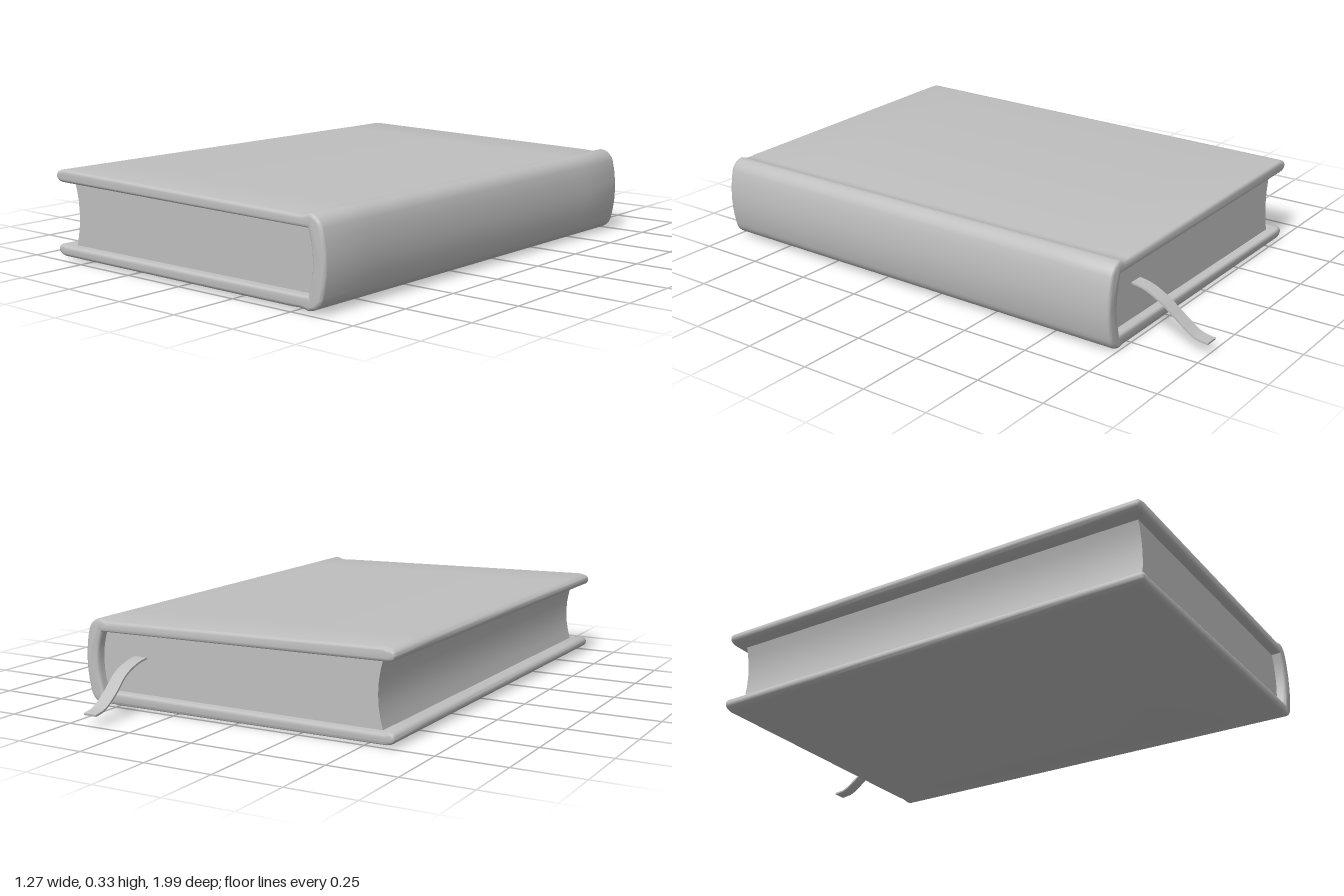
import * as THREE from 'three';
import { toCreasedNormals } from 'three/addons/utils/BufferGeometryUtils.js';

const BACK = -0.745, FRONT = 0.99;

// Extrude a cross-section along z with rounded ends, between z0 and z1.
function extrudeAlong(shape, z0, z1, bevel, crease) {
  let geo = new THREE.ExtrudeGeometry(shape, {
    depth: z1 - z0 - 2 * bevel, steps: 8, curveSegments: 6,
    bevelEnabled: bevel > 0, bevelThickness: bevel, bevelSize: bevel, bevelOffset: -bevel, bevelSegments: 3,
  });
  geo.translate(0, 0, z0 + bevel);
  // The fore edge narrows a little, and the book thins slightly, towards the back.
  const p = geo.attributes.position;
  for (let i = 0; i < p.count; i++) {
    const t = (FRONT - p.getZ(i)) / (FRONT - BACK);
    const x = p.getX(i), y = p.getY(i);
    if (x < 0) p.setX(i, x * (1 - 0.045 * t));
    p.setY(i, y + 0.008 * (1 - t) * (1 - y / 0.33));
  }
  return toCreasedNormals(geo, crease);
}

function coverShape() {
  const s = new THREE.Shape();
  // Outside: bottom board, rounded spine, hinge ridge, top board
  s.moveTo(-0.6, 0.006);
  s.lineTo(0.5, 0.004);
  s.quadraticCurveTo(0.53, 0.008, 0.56, 0.0);
  s.quadraticCurveTo(0.61, 0.008, 0.618, 0.05);
  s.quadraticCurveTo(0.646, 0.16, 0.618, 0.272);
  s.quadraticCurveTo(0.605, 0.31, 0.566, 0.314);
  s.quadraticCurveTo(0.535, 0.3, 0.5, 0.306);
  s.lineTo(-0.59, 0.327);
  s.quadraticCurveTo(-0.635, 0.325, -0.635, 0.302);
  s.quadraticCurveTo(-0.632, 0.28, -0.6, 0.279);
  // Inside: top board, spine lining, bottom board
  s.lineTo(0.56, 0.265);
  s.quadraticCurveTo(0.596, 0.16, 0.56, 0.05);
  s.lineTo(-0.59, 0.046);
  s.quadraticCurveTo(-0.632, 0.06, -0.635, 0.03);
  s.quadraticCurveTo(-0.632, 0.01, -0.6, 0.006);
  return s;
}

function pageShape() {
  const s = new THREE.Shape();
  // Hollow fore edge on the left, rounded back against the spine
  s.moveTo(-0.575, 0.035);
  s.lineTo(0.56, 0.04);
  s.quadraticCurveTo(0.598, 0.16, 0.56, 0.275);
  s.lineTo(-0.575, 0.29);
  s.quadraticCurveTo(-0.53, 0.165, -0.575, 0.035);
  return s;
}

// Flat ribbon swept along a curve, drooping out of the pages
function ribbonGeometry() {
  const path = new THREE.CatmullRomCurve3([
    [0.415, 0.185, -0.66], [0.415, 0.175, -0.75], [0.418, 0.145, -0.82],
    [0.413, 0.09, -0.89], [0.413, 0.05, -0.95], [0.412, 0.04, -1.0],
  ].map(a => new THREE.Vector3(...a)));
  const geo = new THREE.BoxGeometry(0.052, 0.007, 1, 1, 1, 24);
  const p = geo.attributes.position;
  for (let i = 0; i < p.count; i++) {
    const t = THREE.MathUtils.clamp(0.5 - p.getZ(i), 0, 1);
    const c = path.getPoint(t), d = path.getTangent(t);
    const h = p.getY(i);
    p.setXYZ(i, c.x + p.getX(i), c.y - d.z * h, c.z + d.y * h);
  }
  geo.computeVertexNormals();
  return geo;
}

export function createModel() {
  const book = new THREE.Group();
  book.name = 'book';
  const grey = new THREE.MeshStandardMaterial({ color: 0xbfbfbf });
  grey.name = 'plain grey';

  const add = (name, geo) => {
    const mesh = new THREE.Mesh(geo, grey);
    mesh.name = name;
    book.add(mesh);
  };
  add('cover', extrudeAlong(coverShape(), BACK, FRONT, 0.012, 0.7));
  add('pages', extrudeAlong(pageShape(), BACK + 0.035, FRONT - 0.035, 0, 0.6));
  add('ribbonMarker', ribbonGeometry());
  return book;
}
